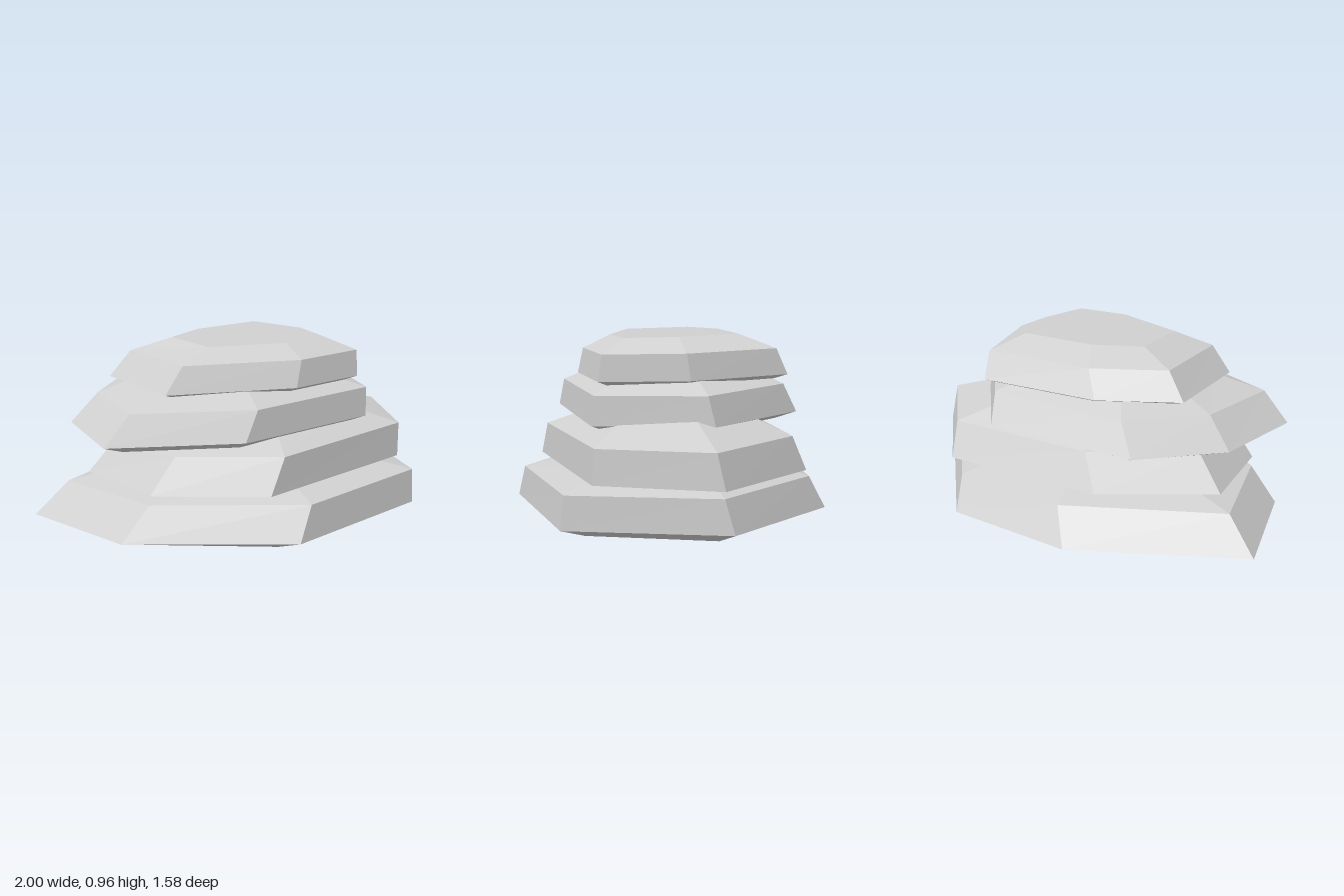
import * as THREE from 'three';

// Each slab: seven [x, z] corners of its widest outline, clockwise from the back left.
// base and tilt set the sloping plane of that outline, lift is the wall height,
// shift moves the wall's upper edge, under and top are [scale, height change, x shift, z shift] of the caps.
const SLABS = [
  {
    name: 'baseSlab', base: .068, tilt: [.024, -.002], lift: .174, shift: [.07, .04],
    outline: [[-1, -.43], [-.15, -.79], [.525, -.7], [.955, -.09], [.65, .68], [-.21, .785], [-.88, .24]],
    under: [.8, -.068, -.04, 0], top: [.65, .07, 0, 0],
  },
  {
    name: 'lowerMiddleSlab', base: .289, tilt: [.024, -.01], lift: .178, shift: [.073, .035],
    outline: [[-.76, -.275], [-.22, -.59], [.64, -.55], [.997, -.03], [.68, .53], [-.28, .645], [-.73, .27]],
    under: [.87, -.025, 0, 0], top: [.6, .1, 0, 0],
  },
  {
    name: 'upperMiddleSlab', base: .543, tilt: [.017, -.014], lift: .15, shift: [.053, .03],
    outline: [[-.82, -.34], [-.455, -.665], [.36, -.595], [.705, -.065], [.47, .495], [-.35, .535], [-.935, .195]],
    under: [.84, -.045, 0, 0], top: [.65, .085, 0, 0],
  },
  {
    name: 'topSlab', base: .752, tilt: [.015, -.009], lift: .134, shift: [.047, .02],
    outline: [[-.58, -.345], [-.19, -.525], [.44, -.515], [.555, .02], [.44, .455], [.005, .485], [-.6, .22]],
    under: [.89, -.025, 0, 0], top: [.67, .066, .01, .017],
  },
];

const middle = ring => [0, 1, 2].map(k => ring.reduce((sum, p) => sum + p[k], 0) / ring.length);

// Shrink a ring about its middle and move it
function inset(ring, [scale, rise, dx, dz]) {
  const [cx, , cz] = middle(ring);
  return ring.map(([x, y, z]) => [cx + (x - cx) * scale + dx, y + rise, cz + (z - cz) * scale + dz]);
}

// Faceted closed solid through a stack of rings, lowest first
function loft(rings) {
  const pos = [];
  const tri = (a, b, c) => pos.push(...a, ...b, ...c);
  const low = rings[0], high = rings[rings.length - 1];
  const lowMid = middle(low), highMid = middle(high);
  for (let i = 0; i < low.length; i++) {
    const j = (i + 1) % low.length;
    for (let r = 0; r < rings.length - 1; r++) {
      const a = rings[r], b = rings[r + 1];
      tri(a[i], b[i], a[j]);
      tri(a[j], b[i], b[j]);
    }
    tri(lowMid, low[i], low[j]);
    tri(highMid, high[j], high[i]);
  }
  const geo = new THREE.BufferGeometry();
  geo.setAttribute('position', new THREE.Float32BufferAttribute(pos, 3));
  geo.computeVertexNormals();
  return geo;
}

export function createModel() {
  const group = new THREE.Group();
  group.name = 'layeredRock';
  const stone = new THREE.MeshStandardMaterial({ color: 0xd0d0d0, flatShading: true });
  stone.name = 'pale stone grey';

  for (const { name, base, tilt, lift, shift, outline, under, top } of SLABS) {
    const wide = outline.map(([x, z]) => [x, base + tilt[0] * x + tilt[1] * z, z]);
    // The walls lean inward, more on the left and back than on the right and front
    const upper = wide.map(([x, y, z]) => [x * .91 + shift[0], y + lift, z * .915 + shift[1]]);
    const bottom = inset(wide, under);
    // The lowest slab lies flat on the ground
    if (name === 'baseSlab') bottom.forEach(p => { p[1] = 0; });
    const mesh = new THREE.Mesh(loft([bottom, wide, upper, inset(upper, top)]), stone);
    mesh.name = name;
    group.add(mesh);
  }
  return group;
}
